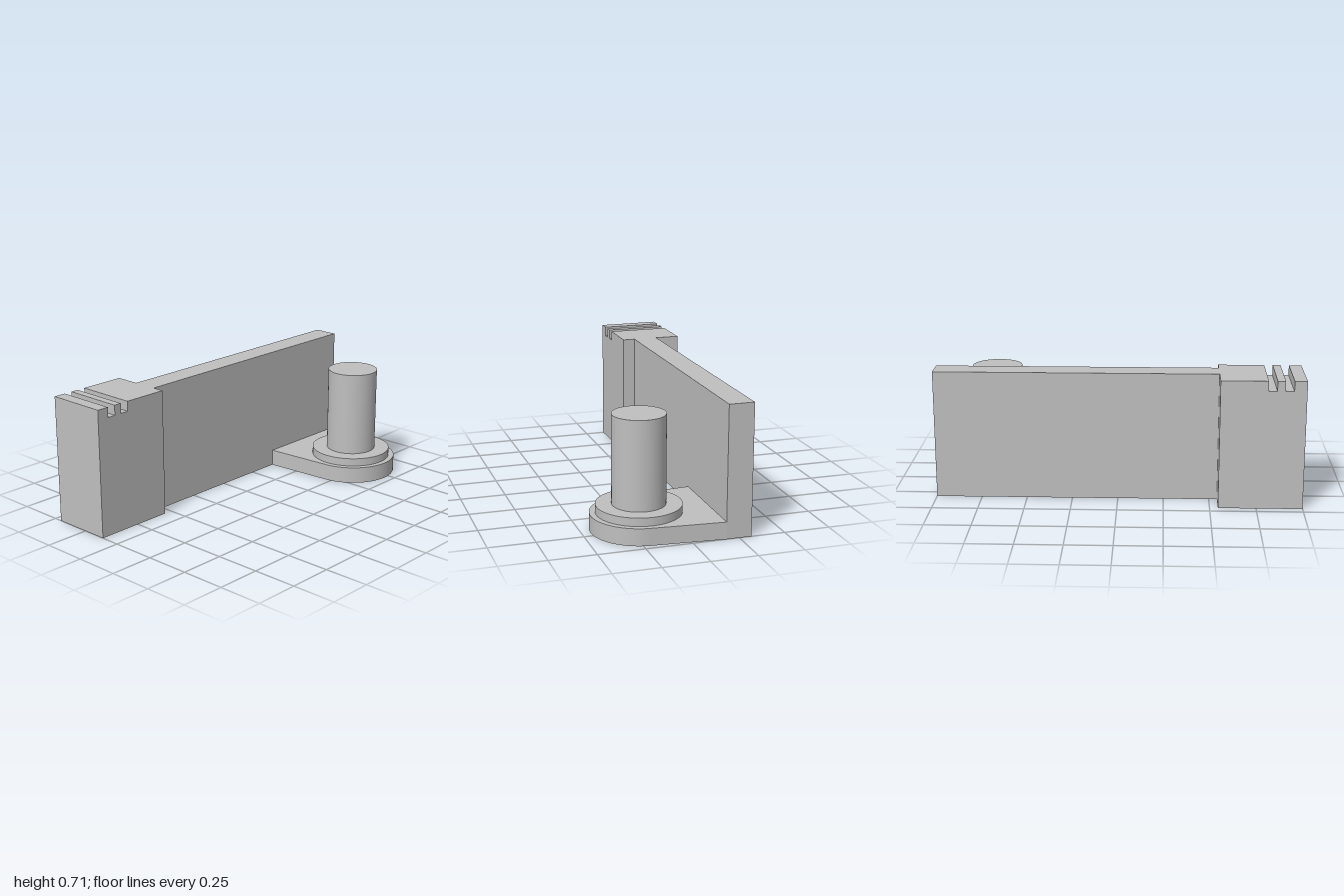
import * as THREE from 'three';
import { toCreasedNormals } from 'three/addons/utils/BufferGeometryUtils.js';

export function createModel() {
  const group = new THREE.Group();
  const grey = new THREE.MeshStandardMaterial({ color: 0xbfbfbf });
  grey.name = 'plain grey';

  const add = (name, geometry, x = 0, y = 0, z = 0) => {
    const mesh = new THREE.Mesh(geometry, grey);
    mesh.name = name;
    mesh.position.set(x, y, z);
    group.add(mesh);
  };

  // End block: side outline with two slots cut in the top
  const top = 0.71, slotFloor = 0.655, blockEdge = -0.545;
  const block = new THREE.Shape();
  block.moveTo(-1, 0).lineTo(blockEdge, 0).lineTo(blockEdge, top);
  for (const [right, left] of [[-0.797, -0.843], [-0.886, -0.932]]) {
    block.lineTo(right, top).lineTo(right, slotFloor);
    block.lineTo(left, slotFloor).lineTo(left, top);
  }
  block.lineTo(-1, top).closePath();
  add('slottedBlock',
    new THREE.ExtrudeGeometry(block, { depth: 0.343, bevelEnabled: false }), 0, 0, -0.453);

  // Thin upright wall
  add('wall', new THREE.BoxGeometry(1 - blockEdge, top, 0.137),
    (1 + blockEdge) / 2, top / 2, -0.2475);

  // Tapered foot with a round end, drawn in plan and laid flat
  const cx = 0.711, cz = 0.195, r = 0.258, tilt = 0.08, footHeight = 0.093;
  const foot = new THREE.Shape();
  foot.moveTo(0.425, -0.179).lineTo(1, -0.179);
  foot.absarc(cx, cz, r, tilt, Math.PI - tilt, false);
  foot.closePath();
  const footGeometry = new THREE.ExtrudeGeometry(foot,
    { depth: footHeight, bevelEnabled: false, curveSegments: 48 });
  footGeometry.rotateX(Math.PI / 2);
  add('foot', toCreasedNormals(footGeometry, 0.5), 0, footHeight, 0);

  // Collar and post standing on the foot
  const addRound = (name, radius, bottom, height) =>
    add(name, new THREE.CylinderGeometry(radius, radius, height, 64), cx, bottom + height / 2, cz);
  addRound('collar', 0.227, footHeight, 0.045);
  addRound('post', 0.142, 0.138, 0.482);

  return group;
}
